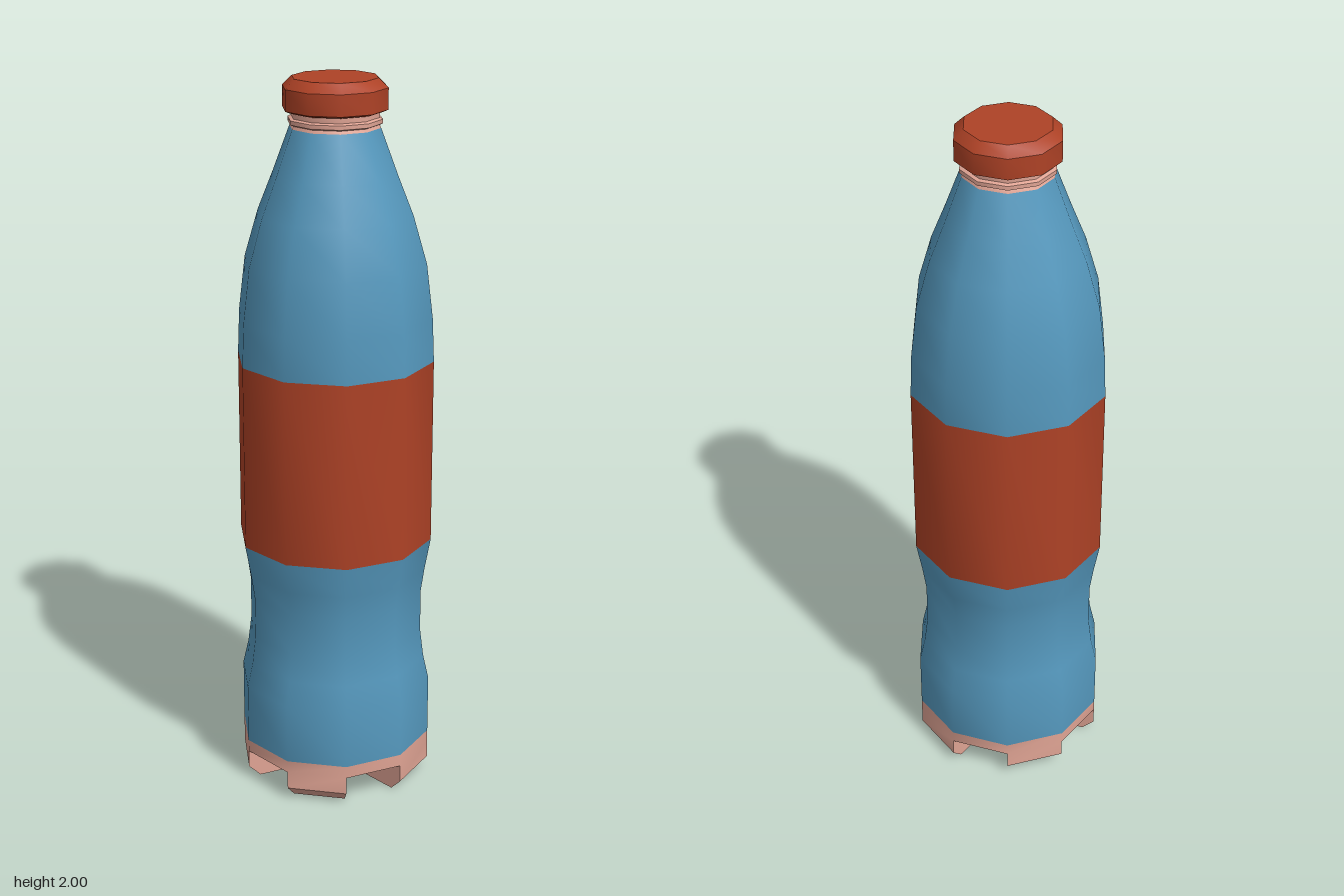
import * as THREE from 'three';
import { toCreasedNormals } from 'three/addons/utils/BufferGeometryUtils.js';

const SIDES = 10;
const STEP = (Math.PI * 2) / SIDES;
const R = 0.273; // widest radius of the bottle

const material = (name, color, side = THREE.FrontSide) => {
  const m = new THREE.MeshStandardMaterial({ color, side });
  m.name = name;
  return m;
};

// Ten-sided turned part from [radius, height] points, bottom to top
function turned(name, profile, mat) {
  const points = profile.map(([r, y]) => new THREE.Vector2(r, y));
  const mesh = new THREE.Mesh(toCreasedNormals(new THREE.LatheGeometry(points, SIDES), 0.68), mat);
  mesh.name = name;
  return mesh;
}

// Footed base: five feet alternating with five sloped notches
function baseGeometry() {
  const foot = [[R, 0.12], [R, 0.085], [R, 0.035], [0.238, 0], [0.13, 0], [0, 0]];
  const notch = [[R, 0.12], [R, 0.085], [0.13, 0], [0, 0]];
  const wall = [[0.13, 0], [0.238, 0], [R, 0.035], [R, 0.085]];
  const positions = [];
  const at = (phi, [r, y]) => [r * Math.sin(phi), y, r * Math.cos(phi)];
  const quad = (a, b, c, d) => positions.push(...a, ...b, ...c, ...a, ...c, ...d);

  for (let i = 0; i < SIDES; i++) {
    const a0 = i * STEP, a1 = a0 + STEP;
    const isFoot = i % 2 === 1;
    const profile = isFoot ? foot : notch;
    for (let j = 0; j < profile.length - 1; j++) {
      const up = profile[j], low = profile[j + 1];
      if (low[0] === 0) positions.push(...at(a0, low), ...at(a1, up), ...at(a0, up));
      else quad(at(a0, low), at(a1, low), at(a1, up), at(a0, up));
    }
    // Side walls of each foot
    if (isFoot) {
      quad(...wall.map((p) => at(a0, p)));
      quad(...[...wall].reverse().map((p) => at(a1, p)));
    }
  }
  const geometry = new THREE.BufferGeometry();
  geometry.setAttribute('position', new THREE.Float32BufferAttribute(positions, 3));
  return toCreasedNormals(geometry, 0.68);
}

export function createModel() {
  const blue = material('blue body', 0x5598bd, THREE.DoubleSide);
  const red = material('rust red', 0xae4226);
  const pink = material('pale pink', 0xe0a494);

  const bottle = new THREE.Group();
  bottle.name = 'bottle';

  const base = new THREE.Mesh(baseGeometry(), pink);
  base.name = 'footedBase';

  bottle.add(
    base,
    // Waisted grip below the label
    turned('lowerBody', [[R, 0.12], [R, 0.29], [0.257, 0.36], [0.247, 0.44], [0.247, 0.56], [0.257, 0.63], [R, 0.72]], blue),
    turned('label', [[R, 0.72], [R, 1.24]], red),
    // Shoulder tapering to the neck
    turned('upperBody', [[R, 1.24], [0.268, 1.36], [0.25, 1.51], [0.212, 1.64], [0.17, 1.745], [0.123, 1.87]], blue),
    // Neck with a thin collar ring
    turned('neck', [[0.123, 1.87], [0.119, 1.878], [0.128, 1.882], [0.128, 1.893], [0.119, 1.897], [0.119, 1.915]], pink),
    turned('cap', [[0, 1.912], [0.128, 1.912], [0.142, 1.918], [0.142, 1.975], [0.116, 2], [0, 2]], red),
  );
  return bottle;
}
